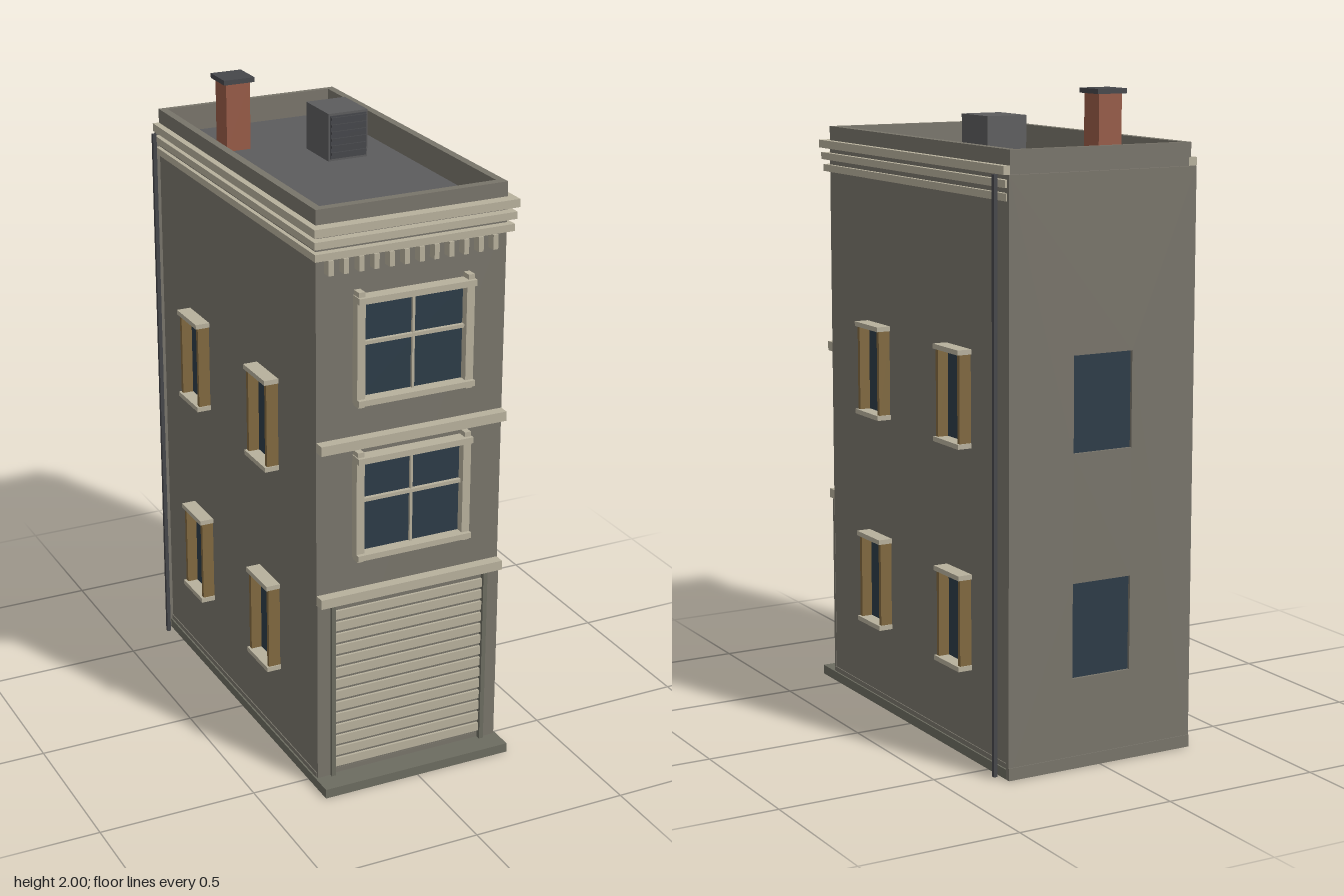
import * as THREE from 'three';

const mat = (name, color, side = THREE.FrontSide) => {
  const m = new THREE.MeshStandardMaterial({ color, side });
  m.name = name;
  return m;
};

export function createModel() {
  const root = new THREE.Group();
  root.name = 'townhouse';
  const wall = mat('wall stone', 0x78746a);
  const base = mat('base stone', 0x6c6c60);
  const cream = mat('cream trim', 0xb7b09c);
  const wood = mat('brown wood', 0x80683f);
  const glass = mat('window glass', 0x2c3b47);
  const roofing = mat('roof grey', 0x5c5c5d);
  const brick = mat('brick', 0x965a46);
  const dark = mat('dark metal', 0x45464a);

  const group = (name, parent = root) => {
    const g = new THREE.Group();
    g.name = name;
    parent.add(g);
    return g;
  };
  // Box given by its minimum and maximum on each axis
  const box = (name, m, x0, x1, y0, y1, z0, z1, parent = root) => {
    const mesh = new THREE.Mesh(new THREE.BoxGeometry(x1 - x0, y1 - y0, z1 - z0), m);
    mesh.position.set((x0 + x1) / 2, (y0 + y1) / 2, (z0 + z1) / 2);
    mesh.name = name;
    parent.add(mesh);
    return mesh;
  };
  const rect = (C, x0, x1, y0, y1) => {
    const p = new C();
    p.moveTo(x0, y0);
    p.lineTo(x1, y0);
    p.lineTo(x1, y1);
    p.lineTo(x0, y1);
    p.closePath();
    return p;
  };

  // Body, base and roof
  box('base', base, -0.315, 0.315, 0, 0.03, -0.62, 0.625);
  box('body', wall, -0.307, 0.307, 0.03, 1.765, -0.61, 0.543);
  box('plinth', wall, -0.31, 0.31, 0.03, 0.045, -0.612, 0.546);
  box('roof', roofing, -0.285, 0.285, 1.765, 1.77, -0.598, 0.518);

  // Parapet ring around the roof
  const ring = rect(THREE.Shape, -0.307, 0.307, -0.543, 0.612);
  ring.holes.push(rect(THREE.Path, -0.282, 0.282, -0.515, 0.595));
  const parapet = new THREE.Mesh(new THREE.ExtrudeGeometry(ring, { depth: 0.085, bevelEnabled: false }), wall);
  parapet.rotation.x = -Math.PI / 2;
  parapet.position.y = 1.765;
  parapet.name = 'parapet';
  root.add(parapet);

  // Rear wall facing with recessed windows
  const storeys = [0.28, 0.96];
  const rear = rect(THREE.Shape, -0.318, 0.318, 0.002, 1.78);
  for (const y of storeys) rear.holes.push(rect(THREE.Path, -0.1, 0.1, y, y + 0.29));
  const rearWall = new THREE.Mesh(new THREE.ExtrudeGeometry(rear, { depth: 0.015, bevelEnabled: false }), wall);
  rearWall.position.z = -0.625;
  rearWall.name = 'rearWall';
  root.add(rearWall);
  for (const y of storeys) box('rearGlass', glass, -0.1, 0.1, y, y + 0.29, -0.616, -0.609);
  box('rearPlinth', wall, -0.318, 0.318, 0.002, 0.04, -0.628, -0.624);

  // Cornice bands along the front and both sides
  const cornice = group('cornice');
  [[1.78, 1.805, 0.328, 0.58], [1.743, 1.765, 0.324, 0.573], [1.705, 1.727, 0.32, 0.567]].forEach(([y0, y1, x, z]) => {
    box('frontBand', cream, -x, x, y0, y1, 0.53, z, cornice);
    for (const s of [-1, 1]) {
      const a = s * 0.3, b = s * x;
      box('sideBand', cream, Math.min(a, b), Math.max(a, b), y0, y1, -0.612, 0.53, cornice);
    }
  });
  for (let i = 0; i < 12; i++) {
    const x = -0.273 + i * 0.048;
    box('dentil', cream, x - 0.008, x + 0.008, 1.66, 1.705, 0.54, 0.573, cornice);
  }

  // Belt courses between the floors
  box('upperBelt', cream, -0.306, 0.306, 1.115, 1.145, 0.54, 0.577);
  box('lowerBelt', cream, -0.306, 0.306, 0.62, 0.65, 0.54, 0.577);

  // Large front windows
  for (const y of [0.75, 1.245]) {
    const w = group('frontWindow');
    box('glass', glass, -0.17, 0.17, y + 0.02, y + 0.325, 0.54, 0.547, w);
    for (const s of [-1, 1]) {
      box('jamb', cream, s * 0.177 - 0.013, s * 0.177 + 0.013, y + 0.01, y + 0.332, 0.54, 0.573, w);
      box('headerBlock', cream, s * 0.177 - 0.01, s * 0.177 + 0.01, y + 0.315, y + 0.352, 0.54, 0.575, w);
      box('sillBlock', cream, s * 0.177 - 0.01, s * 0.177 + 0.01, y - 0.002, y + 0.02, 0.54, 0.575, w);
    }
    box('header', cream, -0.19, 0.19, y + 0.318, y + 0.337, 0.54, 0.586, w);
    box('sill', cream, -0.19, 0.19, y + 0.006, y + 0.024, 0.54, 0.586, w);
    box('mullion', cream, -0.004, 0.004, y + 0.02, y + 0.32, 0.545, 0.556, w);
    box('crossbar', cream, -0.167, 0.167, y + 0.185, y + 0.196, 0.545, 0.56, w);
  }

  // Shutter door with side posts
  const door = group('shutterDoor');
  box('doorBacking', wall, -0.255, 0.255, 0.04, 0.62, 0.54, 0.545, door);
  for (let i = 0; i < 14; i++) {
    const y = 0.055 + i * 0.039;
    box('slat', cream, -0.252, 0.252, y, y + 0.028, 0.54, 0.553, door);
  }
  for (const s of [-1, 1]) {
    box('post', wall, s * 0.286 - 0.022, s * 0.286 + 0.022, 0.03, 0.62, 0.54, 0.552, door);
    box('guideRail', base, s * 0.258 - 0.007, s * 0.258 + 0.007, 0.03, 0.61, 0.54, 0.562, door);
  }

  // Side windows and rear drainpipes, mirrored
  for (const s of [-1, 1]) {
    const sideBox = (name, m, a, b, y0, y1, z0, z1, parent) =>
      box(name, m, Math.min(s * a, s * b), Math.max(s * a, s * b), y0, y1, z0, z1, parent);
    for (const y of storeys) for (const z of [-0.31, 0.208]) {
      const w = group('sideWindow');
      sideBox('glass', glass, 0.305, 0.311, y, y + 0.29, z - 0.065, z + 0.065, w);
      for (const d of [-1, 1])
        sideBox('jamb', wood, 0.305, 0.345, y + 0.005, y + 0.285, z + d * 0.066 - 0.007, z + d * 0.066 + 0.007, w);
      sideBox('lintel', cream, 0.305, 0.353, y + 0.277, y + 0.292, z - 0.077, z + 0.077, w);
      sideBox('sill', cream, 0.305, 0.353, y - 0.004, y + 0.011, z - 0.077, z + 0.077, w);
    }
    sideBox('drainpipe', dark, 0.332, 0.344, 0.005, 1.78, -0.585, -0.572);
  }

  // Chimney
  box('chimney', brick, -0.196, -0.116, 1.77, 1.985, -0.407, -0.325);
  box('chimneyCap', dark, -0.207, -0.105, 1.985, 2, -0.418, -0.314);

  // Rooftop vent unit with louvres
  const vent = group('ventUnit');
  box('housing', roofing, 0.042, 0.175, 1.77, 1.92, -0.252, -0.095, vent);
  box('grille', dark, 0.047, 0.17, 1.777, 1.913, -0.096, -0.092, vent);
  for (let i = 0; i < 6; i++) {
    const y = 1.79 + i * 0.022;
    box('louvre', dark, 0.049, 0.168, y, y + 0.008, -0.094, -0.086, vent);
  }
  return root;
}
